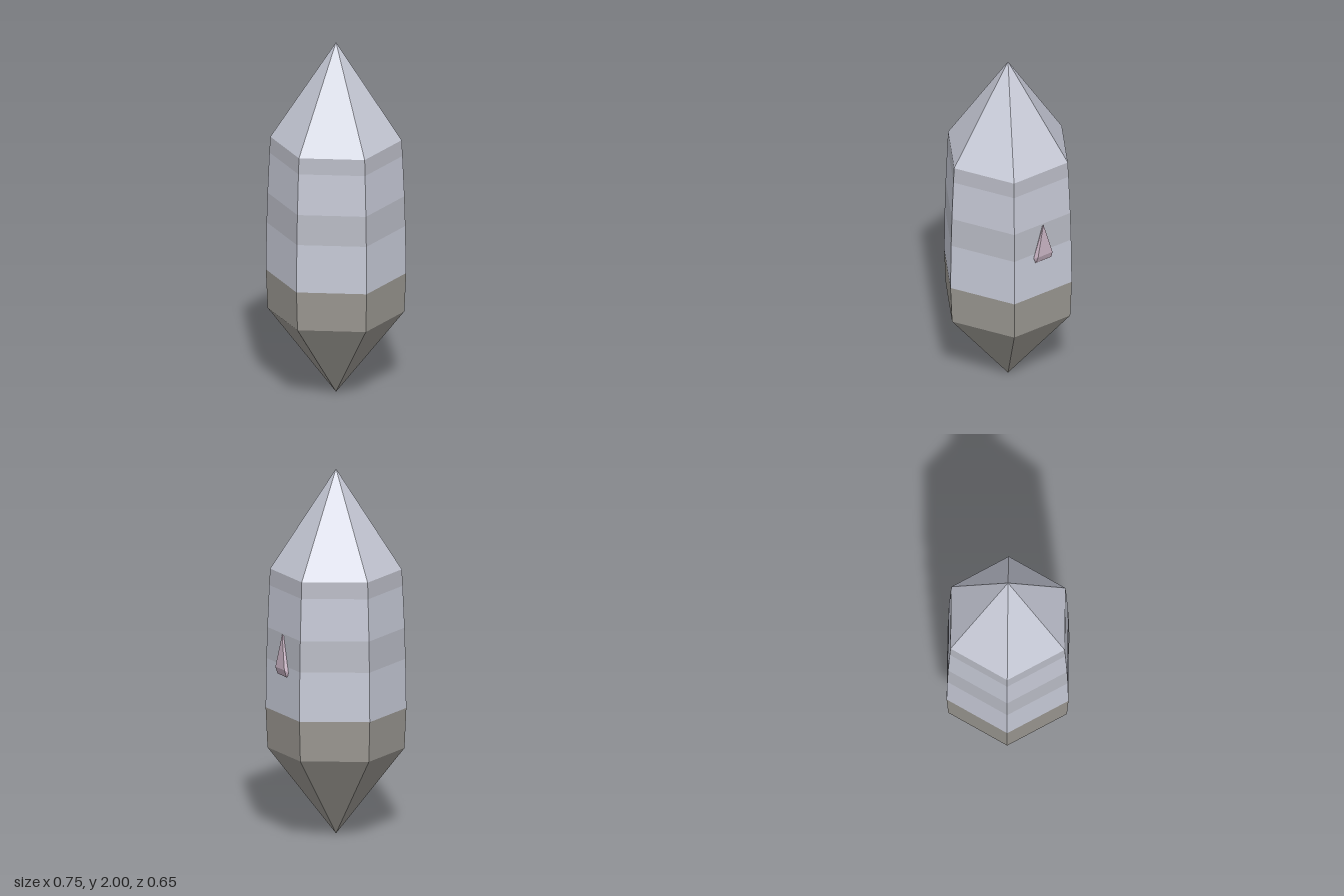
import * as THREE from 'three';
import { ConvexGeometry } from 'three/addons/geometries/ConvexGeometry.js';

const material = (color) => new THREE.MeshStandardMaterial({ color, flatShading: true });

export function createModel() {
  const crystal = new THREE.Group();
  crystal.name = 'crystal';

  const pale = material(0xc6c9d6);
  const dim = material(0xb8bac4);
  const earthy = material(0x9a9791);

  // Hexagonal sections: name, bottom height, bottom radius, top height, top radius
  const sections = [
    ['lowerPoint', 0, 0, 0.47, 0.365, earthy],
    ['rootBand', 0.47, 0.365, 0.69, 0.375, earthy],
    ['lowerBody', 0.69, 0.375, 0.96, 0.371, pale],
    ['middleBand', 0.96, 0.371, 1.13, 0.366, dim],
    ['upperBody', 1.13, 0.366, 1.36, 0.356, pale],
    ['shoulderBand', 1.36, 0.356, 1.45, 0.351, dim],
    ['upperPoint', 1.45, 0.351, 2, 0, pale],
  ];
  for (const [name, y0, r0, y1, r1, mat] of sections) {
    const geometry = new THREE.CylinderGeometry(r1, r0, y1 - y0, 6, 1, true, Math.PI / 2);
    const mesh = new THREE.Mesh(geometry, mat);
    mesh.name = name;
    mesh.position.y = (y0 + y1) / 2;
    crystal.add(mesh);
  }

  // Small shard on the back left face: x runs along the face, z points out of it
  const corners = [
    [0, 1.13, 0.327], [0, 1.1, 0.3],
    [-0.046, 0.945, 0.343], [0.05, 0.945, 0.341],
    [-0.06, 0.935, 0.322], [0.06, 0.93, 0.321],
    [-0.05, 0.905, 0.328], [0.05, 0.905, 0.328],
    [-0.05, 0.905, 0.3], [0.05, 0.905, 0.3],
  ].map((p) => new THREE.Vector3(...p));
  const shard = new THREE.Mesh(new ConvexGeometry(corners), material(0xc4afbf));
  shard.name = 'sideShard';
  shard.rotation.y = (Math.PI * 2) / 3;
  crystal.add(shard);

  return crystal;
}
